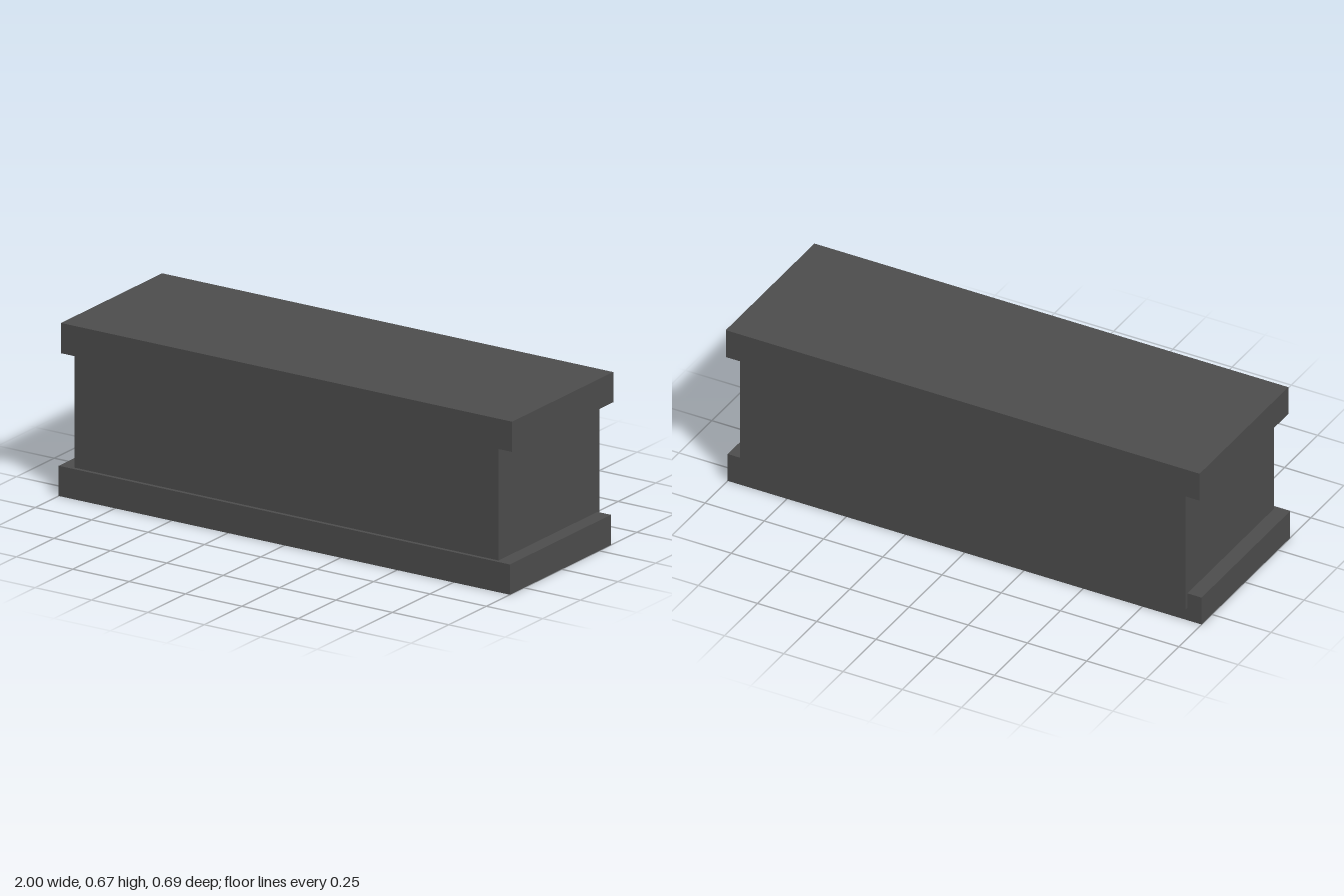
import * as THREE from 'three';

export function createModel() {
  const model = new THREE.Group();
  const darkGrey = new THREE.MeshStandardMaterial({ color: 0x4d4d4d });
  darkGrey.name = 'darkGrey';

  // Body and overhanging cap: one T-shaped profile extruded front to back
  const halfProfile = [[0.94, 0.053], [0.94, 0.553], [1, 0.553], [1, 0.671]];
  const mirrored = halfProfile.map(([x, y]) => [-x, y]).reverse();
  const profile = new THREE.Shape(
    [...halfProfile, ...mirrored].map(([x, y]) => new THREE.Vector2(x, y))
  );
  const bodyGeometry = new THREE.ExtrudeGeometry(profile, { depth: 0.672, bevelEnabled: false });
  const body = new THREE.Mesh(bodyGeometry, darkGrey);
  body.name = 'bodyWithCap';
  body.position.z = -0.343;
  model.add(body);

  // Base slab, set slightly forward of the body
  const base = new THREE.Mesh(new THREE.BoxGeometry(2, 0.118, 0.672), darkGrey);
  base.name = 'baseSlab';
  base.position.set(0, 0.059, 0.008);
  model.add(base);

  return model;
}
